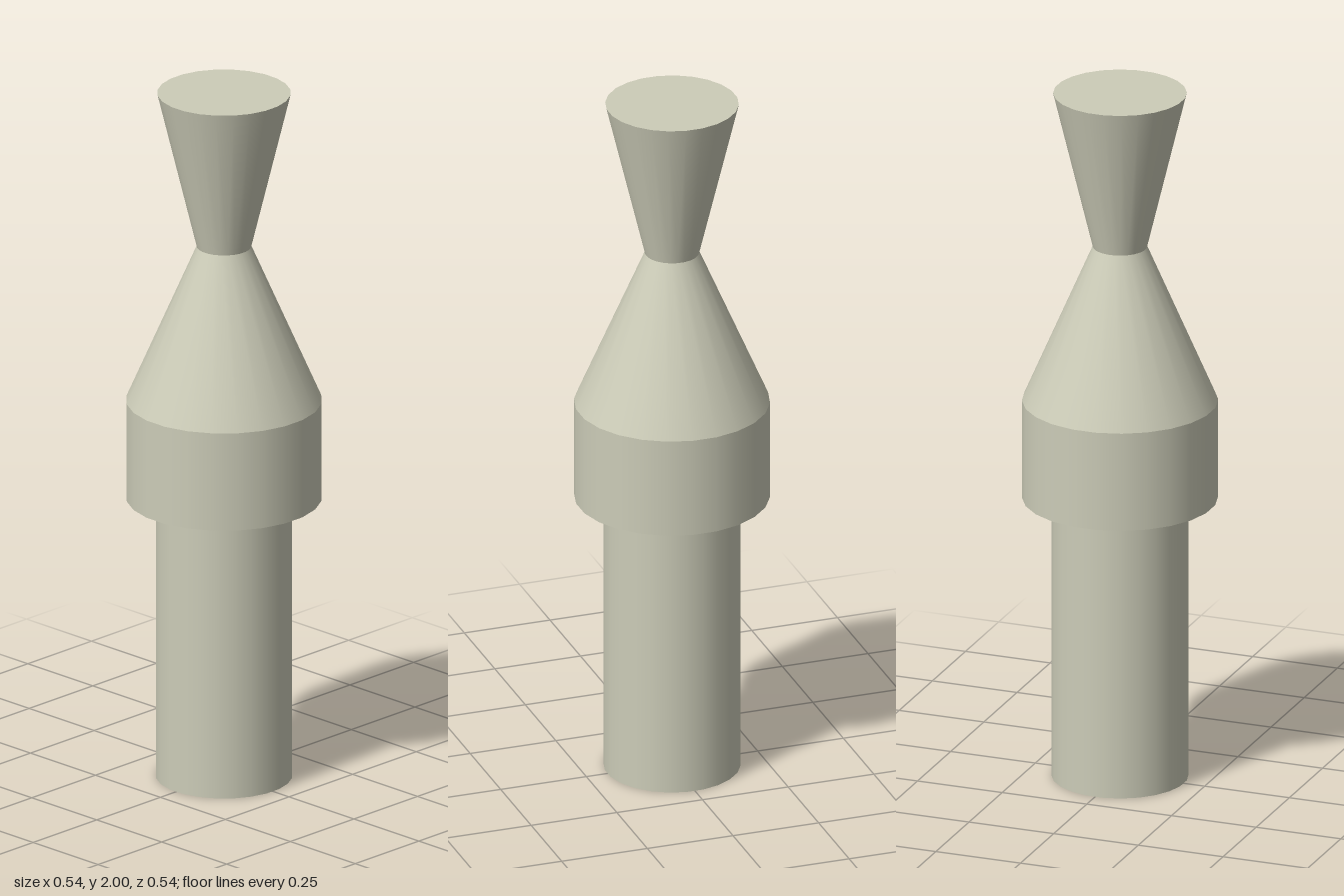
import * as THREE from 'three';

const SIDES = 24;
const material = new THREE.MeshStandardMaterial({ color: 0xccccb8 });

// Revolves each straight run of a profile on its own, so rims stay sharp and walls smooth.
function turned(name, profile) {
  const part = new THREE.Group();
  part.name = name;
  for (let i = 0; i < profile.length - 1; i++) {
    const run = [profile[i], profile[i + 1]].map(([r, y]) => new THREE.Vector2(r, y));
    const mesh = new THREE.Mesh(new THREE.LatheGeometry(run, SIDES, Math.PI / SIDES), material);
    mesh.name = `${name}Surface${i + 1}`;
    part.add(mesh);
  }
  return part;
}

export function createModel() {
  const model = new THREE.Group();
  model.name = 'turnedPin';

  // Hollow stem: bore ceiling, bore wall, bottom ring, outer wall
  model.add(turned('stem', [[0, 0.815], [0.093, 0.815], [0.093, 0], [0.189, 0], [0.189, 0.815]]));

  // Collar: underside ring and straight wall
  model.add(turned('collar', [[0.189, 0.815], [0.27, 0.815], [0.27, 1.1]]));

  // Shoulder tapering to the neck
  model.add(turned('shoulder', [[0.27, 1.1], [0.075, 1.55]]));

  // Flared head with a flat top
  model.add(turned('head', [[0.075, 1.55], [0.184, 2], [0, 2]]));

  return model;
}
